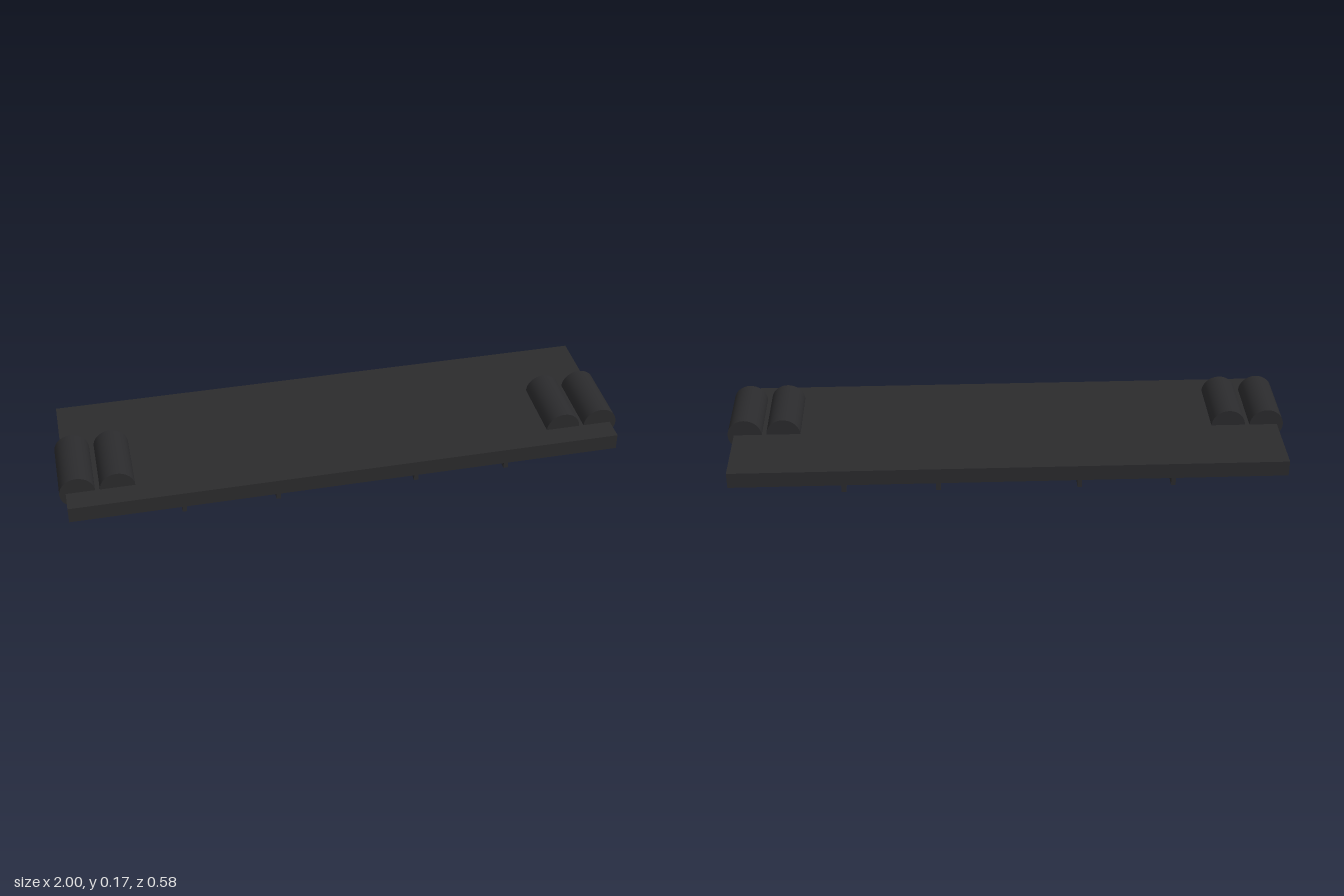
import * as THREE from 'three';

const material = new THREE.MeshStandardMaterial({ color: 0x2b2b2d });

function addPart(parent, name, geometry, x, y, z) {
  const mesh = new THREE.Mesh(geometry, material);
  mesh.name = name;
  mesh.position.set(x, y, z);
  parent.add(mesh);
  return mesh;
}

export function createModel() {
  const model = new THREE.Group();
  model.name = 'board';

  // Flat deck
  addPart(model, 'deck', new THREE.BoxGeometry(1.956, 0.058, 0.576), 0, 0.086, 0);

  // Thin ribs running front to back under the deck
  const ribGeometry = new THREE.BoxGeometry(0.016, 0.06, 0.494);
  for (const x of [-0.581, -0.249, 0.249, 0.581]) {
    addPart(model, 'rib', ribGeometry, x, 0.03, 0);
  }

  // Pairs of rollers sunk into the deck at each end
  const rollerGeometry = new THREE.CylinderGeometry(0.061, 0.061, 0.247, 32);
  rollerGeometry.rotateX(Math.PI / 2);
  for (const side of [-1, 1]) {
    const pair = new THREE.Group();
    pair.name = side > 0 ? 'leftRollers' : 'rightRollers';
    addPart(pair, 'outerRoller', rollerGeometry, side * 0.939, 0.113, 0.083);
    addPart(pair, 'innerRoller', rollerGeometry, side * 0.801, 0.113, 0.083);
    model.add(pair);
  }

  return model;
}
